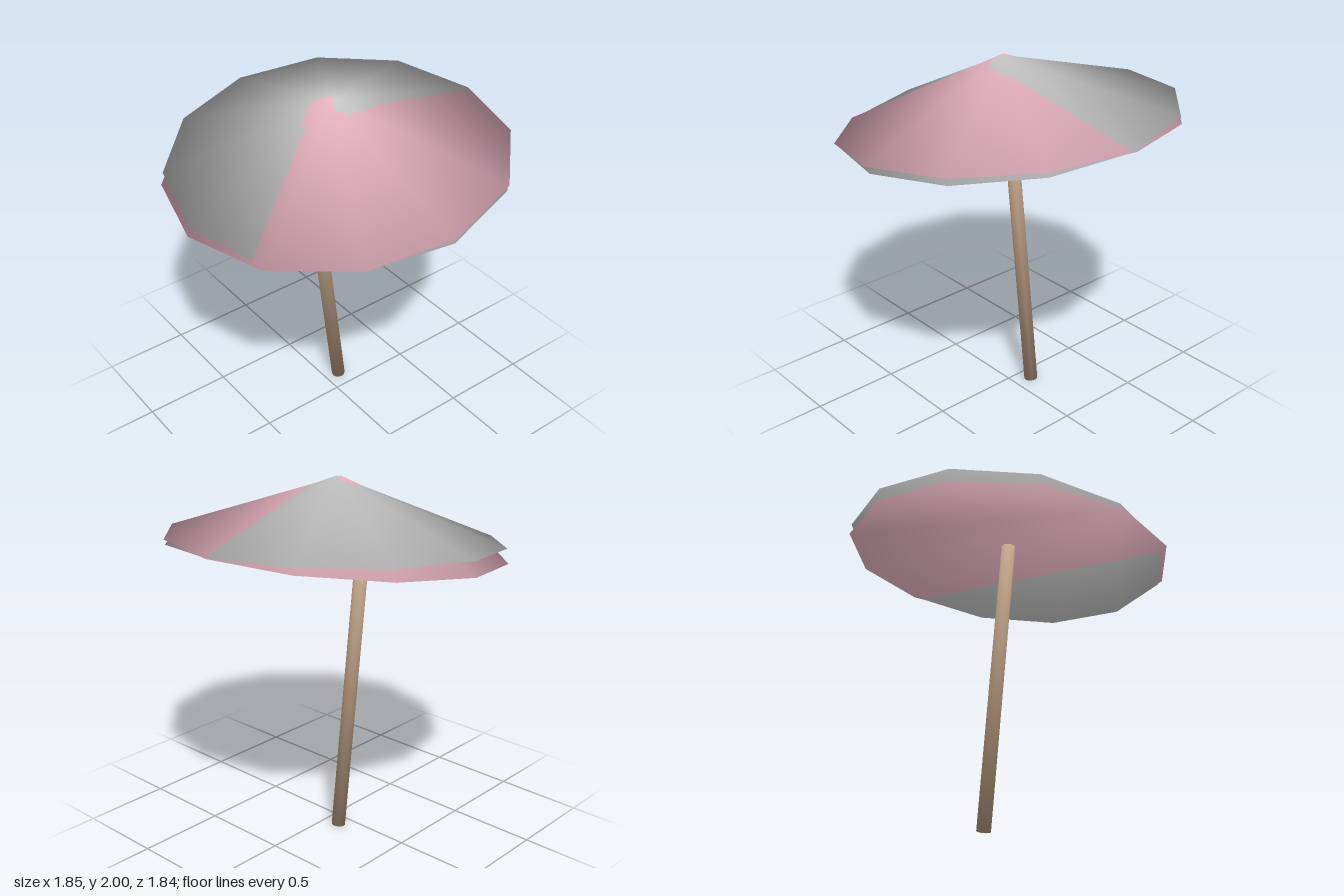
import * as THREE from 'three';

const UP = new THREE.Vector3(0, 1, 0);
const SIDES = 12;

// Closed twelve-sided solid through two rings [radius, y, outward, upward]; the last
// two values give the normal, shared by side and end so that the shading runs softly over the rim
function softSolid(bottom, top) {
  const positions = [], normals = [], index = [];
  for (const [radius, y, outward, upward] of [bottom, top]) {
    for (let i = 0; i < SIDES; i++) {
      const angle = (i / SIDES) * Math.PI * 2;
      const s = Math.sin(angle), c = Math.cos(angle);
      positions.push(radius * s, y, radius * c);
      normals.push(outward * s, upward, outward * c);
    }
  }
  const pointed = top[0] === 0;
  for (let i = 0; i < SIDES; i++) {
    const j = (i + 1) % SIDES;
    index.push(i, j, SIDES + i);
    if (!pointed) index.push(j, SIDES + j, SIDES + i);
  }
  // Flat ends without a centre point
  for (let i = 1; i < SIDES - 1; i++) {
    index.push(0, i + 1, i);
    if (!pointed) index.push(SIDES, SIDES + i, SIDES + i + 1);
  }
  const geometry = new THREE.BufferGeometry();
  geometry.setAttribute('position', new THREE.Float32BufferAttribute(positions, 3));
  geometry.setAttribute('normal', new THREE.Float32BufferAttribute(normals, 3));
  geometry.setIndex(index);
  return geometry;
}

// Cone with its origin at the centre of the rim
function canopy(radius, height) {
  return softSolid([radius, 0, 0.988, -0.153], [0, height, 0, 1]);
}

// Adds a mesh whose own y axis is turned to point along `axis`
function addPart(group, name, geometry, color, position, axis) {
  const mesh = new THREE.Mesh(geometry, new THREE.MeshStandardMaterial({ color }));
  mesh.name = name;
  mesh.position.set(...position);
  mesh.quaternion.setFromUnitVectors(UP, new THREE.Vector3(...axis).normalize());
  group.add(mesh);
}

export function createModel() {
  const model = new THREE.Group();
  model.name = 'parasol';

  // Two overlapping canopies, tilted slightly differently so they cut through each other
  addPart(model, 'pinkCanopy', canopy(0.925, 0.362), 0xf0bac8, [0, 1.64, 0], [0, 1, 0.12]);
  addPart(model, 'greyCanopy', canopy(0.912, 0.341), 0xcccccc, [-0.005, 1.661, -0.008], [0.067, 1, 0.101]);

  // Leaning pole, ending inside the canopies
  const pole = softSolid([0.039, 0, 0.757, -0.653], [0.039, 1.75, 0.757, 0.653]);
  addPart(model, 'pole', pole, 0xc8a98c, [-0.1, 0.005, -0.086], [0, 1, 0.121]);

  return model;
}
